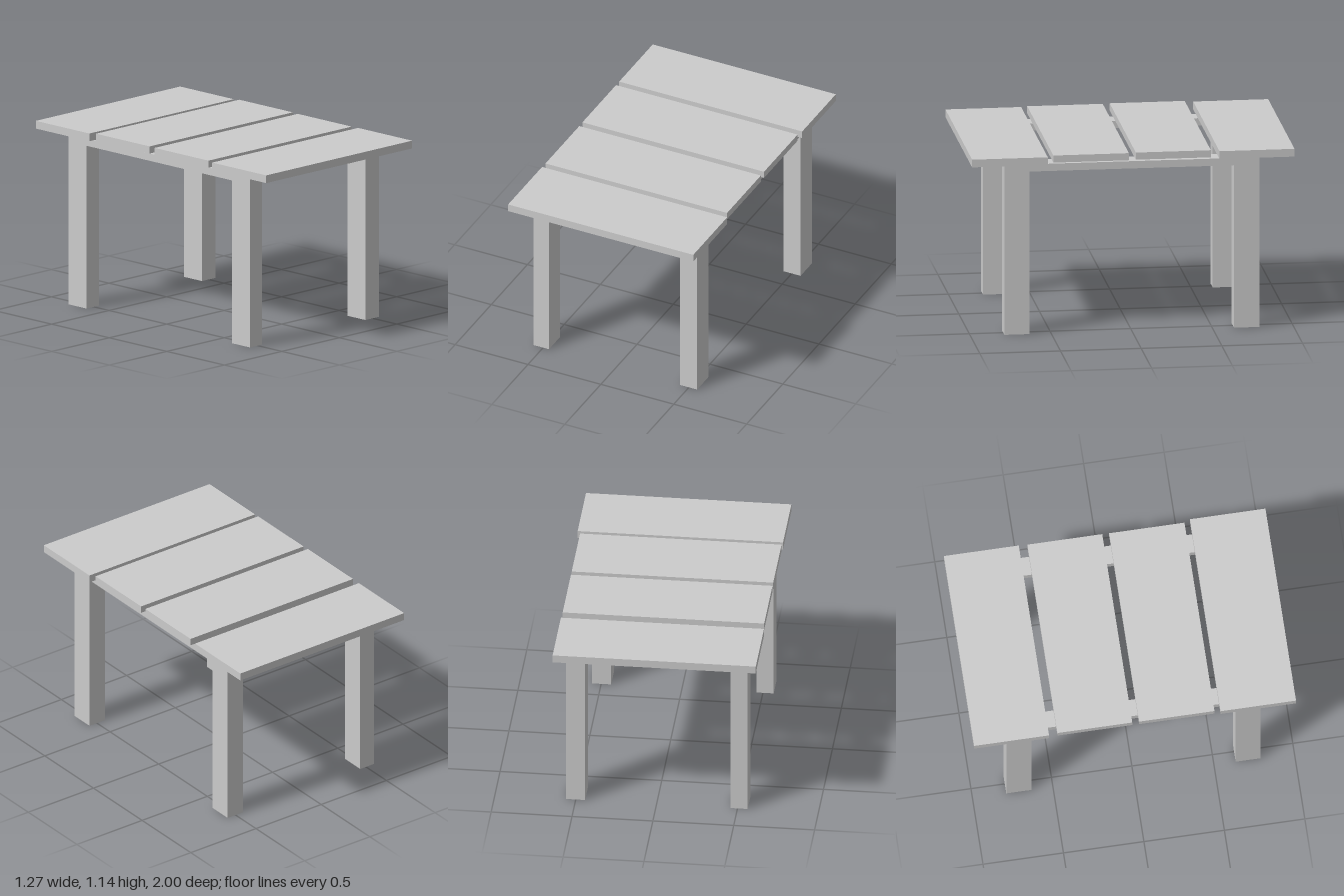
import * as THREE from 'three';

export function createModel() {
  const group = new THREE.Group();
  const material = new THREE.MeshStandardMaterial({ color: 0xcccccc, flatShading: true });

  // Box given by its limits on each axis
  function addBox(name, [x0, x1], [y0, y1], [z0, z1]) {
    const mesh = new THREE.Mesh(new THREE.BoxGeometry(x1 - x0, y1 - y0, z1 - z0), material);
    mesh.position.set((x0 + x1) / 2, (y0 + y1) / 2, (z0 + z1) / 2);
    mesh.name = name;
    group.add(mesh);
    return mesh;
  }

  // Table top: four loose planks, the middle two slightly raised
  addBox('backPlank', [-0.636, 0.62], [1.088, 1.137], [-1, -0.535]);
  addBox('middleBackPlank', [-0.631, 0.615], [1.099, 1.144], [-0.482, -0.017]);
  addBox('middleFrontPlank', [-0.631, 0.615], [1.097, 1.142], [0.026, 0.494]);
  addBox('frontPlank', [-0.636, 0.634], [1.088, 1.137], [0.531, 1]);

  // Legs and side rails, the back legs a touch further to +x
  const skew = 0.004;
  const sides = { right: [-0.567, -0.46], left: [0.438, 0.556] };
  for (const [side, [x0, x1]] of Object.entries(sides)) {
    addBox(side + 'FrontLeg', [x0, x1], [0, 1.088], [0.635, 0.79]);
    addBox(side + 'BackLeg', [x0 + skew, x1 + skew], [0, 1.088], [-0.79, -0.633]);

    // Rail sheared to meet both legs
    const rail = addBox(side + 'Rail', [x0, x1], [1.03, 1.076], [-0.633, 0.635]);
    const position = rail.geometry.attributes.position;
    for (let i = 0; i < position.count; i++) {
      if (position.getZ(i) < 0) position.setX(i, position.getX(i) + skew);
    }
    rail.geometry.computeVertexNormals();
  }
  return group;
}
